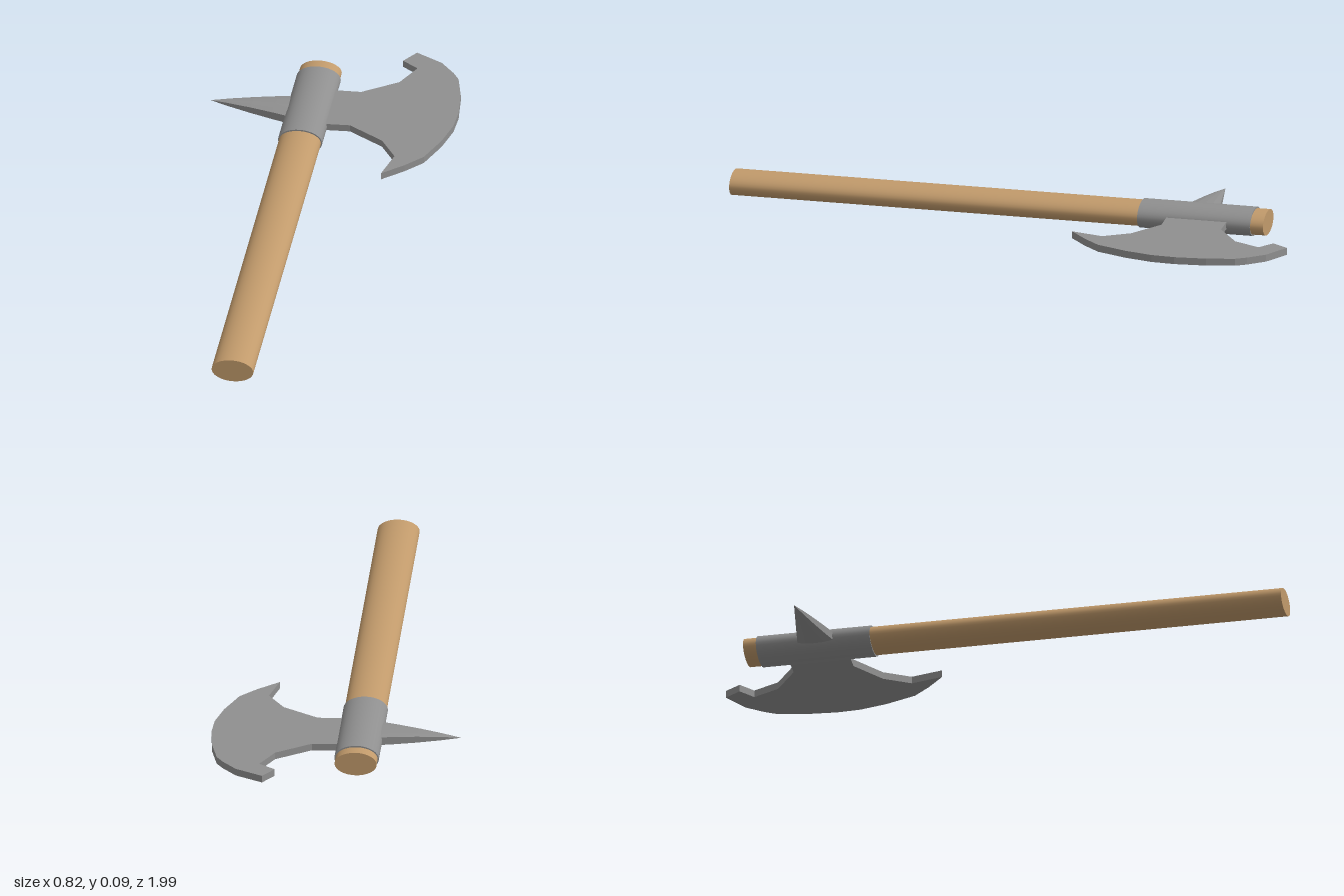
import * as THREE from 'three';
import { ConvexGeometry } from 'three/addons/geometries/ConvexGeometry.js';

const MID_Y = 0.046; // height of the axe's middle plane

// Oval bar lying along z
function ovalBar(halfWidth, halfHeight, length, material, name) {
  const geometry = new THREE.CylinderGeometry(1, 1, length, 32);
  geometry.rotateX(Math.PI / 2);
  geometry.scale(halfWidth, halfHeight, 1);
  const mesh = new THREE.Mesh(geometry, material);
  mesh.name = name;
  return mesh;
}

export function createModel() {
  const wood = new THREE.MeshStandardMaterial({ color: 0xc19a6b });
  wood.name = 'wood';
  const steel = new THREE.MeshStandardMaterial({ color: 0x8f8f8f });
  steel.name = 'steel';
  const facetedSteel = steel;

  const axe = new THREE.Group();
  axe.name = 'axe';

  // Slightly turned shaft with its metal collar
  const shaft = new THREE.Group();
  shaft.name = 'shaft';
  shaft.position.set(-0.012, MID_Y, 0.08);
  shaft.rotation.y = 0.1035;
  const handle = ovalBar(0.07, 0.041, 1.823, wood, 'handle');
  const collar = ovalBar(0.074, 0.046, 0.385, steel, 'collar');
  collar.position.z = -0.675;
  shaft.add(handle, collar);
  axe.add(shaft);

  // Flat bearded blade, outline as [x, z]
  const outline = [
    [-0.1, -0.70], [-0.03, -0.709], [0.06, -0.722], [0.167, -0.812], [0.203, -0.907],
    [0.145, -0.939], [0.177, -0.998], [0.272, -0.96], [0.325, -0.912], [0.351, -0.88],
    [0.383, -0.79], [0.404, -0.685], [0.408, -0.606], [0.394, -0.51], [0.362, -0.40],
    [0.314, -0.336], [0.251, -0.268], [0.267, -0.379], [0.203, -0.458], [0.077, -0.519],
    [-0.008, -0.505], [-0.09, -0.50],
  ];
  const shape = new THREE.Shape(outline.map(([x, z]) => new THREE.Vector2(x, -z)));
  const bladeGeometry = new THREE.ExtrudeGeometry(shape, { depth: 0.024, bevelEnabled: false });
  bladeGeometry.rotateX(-Math.PI / 2);
  const blade = new THREE.Mesh(bladeGeometry, steel);
  blade.name = 'blade';
  blade.position.y = MID_Y - 0.012;
  axe.add(blade);

  // Back spike: straight taper in width, bowed taper in height
  const points = [];
  const sections = [[0, 0.02], [0.3, 0.0185], [0.55, 0.015], [0.8, 0.0085], [1, 0.0005]];
  for (const [t, h] of sections) {
    const x = THREE.MathUtils.lerp(-0.1, -0.41, t);
    const z = THREE.MathUtils.lerp(-0.581, -0.562, t);
    const w = 0.071 * (1 - t) + 0.0005;
    for (const [a, b] of [[1, 0.72], [0.5, 0.95], [0, 1]]) {
      for (const sz of [-1, 1]) {
        for (const sy of [-1, 1]) {
          if (a === 0 && sz < 0) continue;
          points.push(new THREE.Vector3(x, MID_Y + sy * b * h, z + sz * a * w));
        }
      }
    }
  }
  const spike = new THREE.Mesh(new ConvexGeometry(points), facetedSteel);
  spike.name = 'backSpike';
  axe.add(spike);

  return axe;
}
